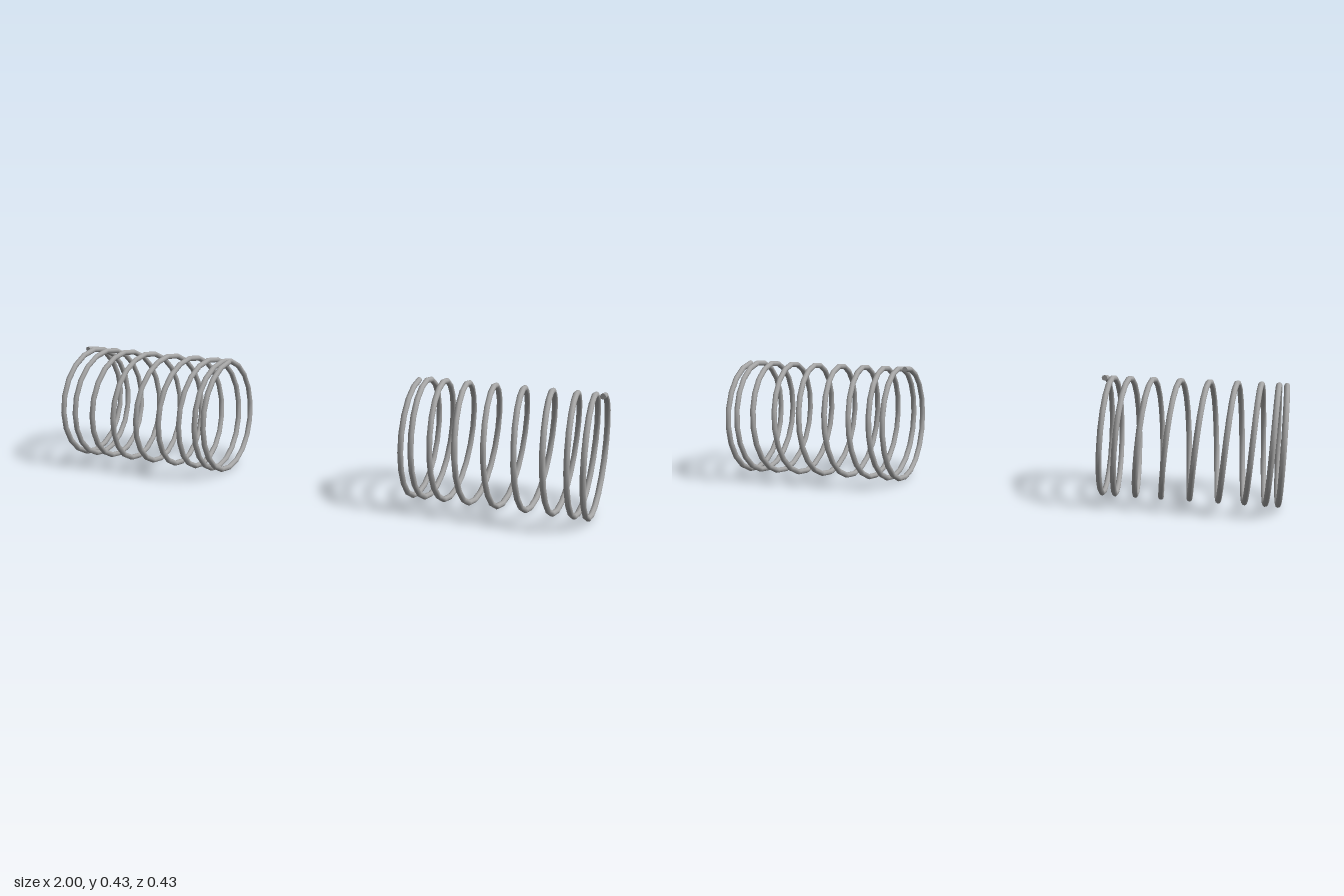
import * as THREE from 'three';

const TURNS = 9, STEPS_PER_TURN = 20;
const COIL_R = 0.2055, WIRE_R = 0.01, AXIS_Y = 0.217;
const OUTER_X = 0.991, SPAN = 0.621;

// Helix along x whose coils are tight at both ends and open in the middle
class SpringCurve extends THREE.Curve {
  constructor(side) {
    super();
    this.side = side;
  }
  getPoint(t, target = new THREE.Vector3()) {
    const eased = THREE.MathUtils.lerp(t * t * (3 - 2 * t), t, 0.12);
    const a = t * TURNS * Math.PI * 2;
    return target.set(
      this.side * (OUTER_X - SPAN * eased),
      AXIS_Y + COIL_R * Math.cos(a),
      // wound from the top towards the back, starting at the outer end
      (this.side < 0 ? -1 : 1) * this.side * COIL_R * Math.sin(a) * -1
    );
  }
  // Even steps in angle, so that every turn has the same corners
  getUtoTmapping(u) {
    return u;
  }
}

function createSpring(side, material) {
  const spring = new THREE.Group();
  spring.name = side > 0 ? 'leftSpring' : 'rightSpring';
  const curve = new SpringCurve(side);

  const wire = new THREE.Mesh(
    new THREE.TubeGeometry(curve, TURNS * STEPS_PER_TURN, WIRE_R, 8, false), material);
  wire.name = 'coiledWire';
  spring.add(wire);

  // Flat discs closing the two cut ends of the wire
  for (const t of [0, 1]) {
    const cap = new THREE.Mesh(new THREE.CircleGeometry(WIRE_R, 8), material);
    cap.name = t === 0 ? 'outerWireEnd' : 'innerWireEnd';
    const outward = curve.getTangent(t).multiplyScalar(t === 0 ? -1 : 1);
    cap.position.copy(curve.getPoint(t));
    cap.quaternion.setFromUnitVectors(new THREE.Vector3(0, 0, 1), outward);
    spring.add(cap);
  }
  return spring;
}

export function createModel() {
  const steel = new THREE.MeshStandardMaterial({ color: 0xa6a6a6 });
  steel.name = 'steel grey';
  const model = new THREE.Group();
  model.name = 'springPair';
  for (const side of [-1, 1]) model.add(createSpring(side, steel));
  return model;
}
